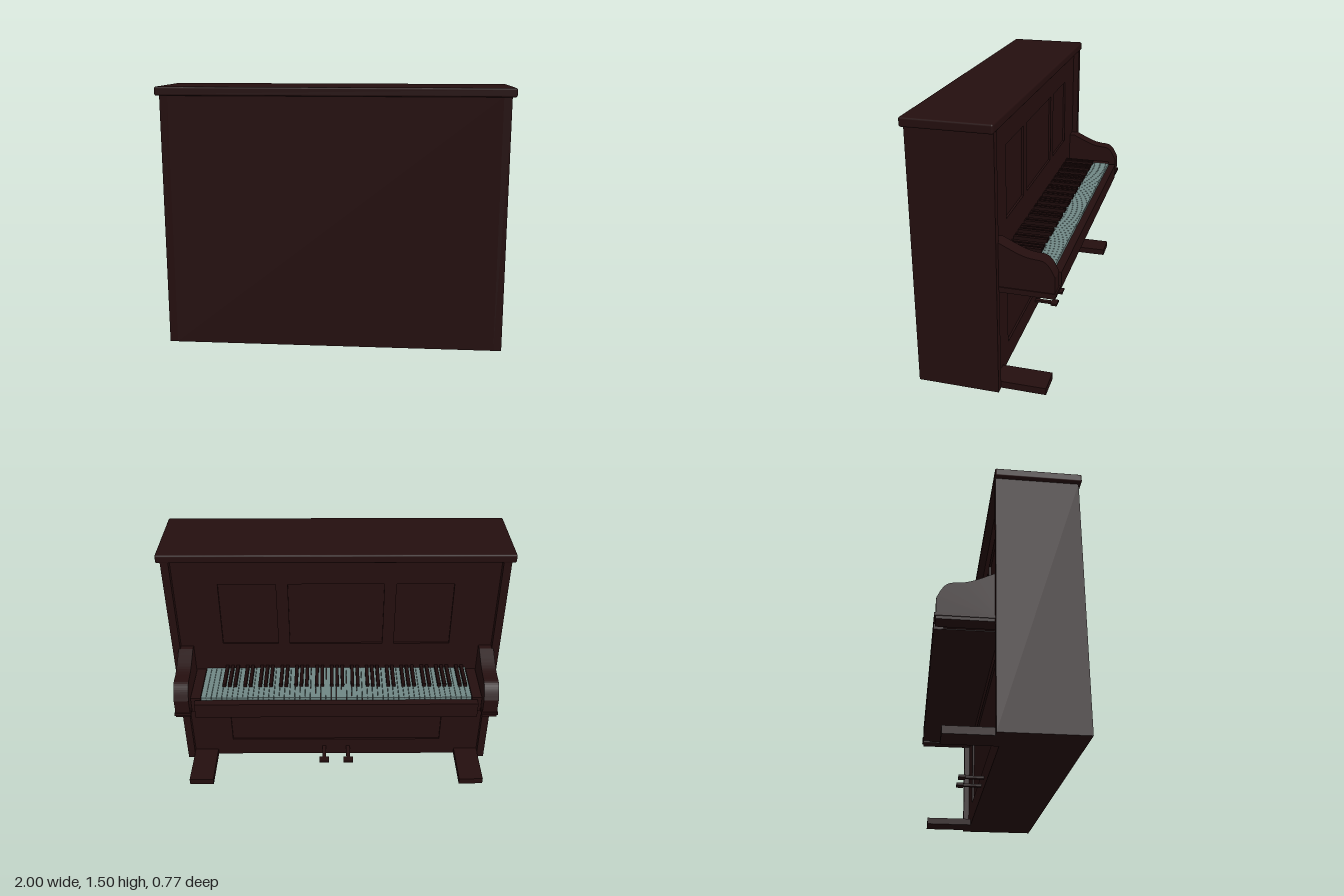
import * as THREE from 'three';
import { RoundedBoxGeometry } from 'three/addons/geometries/RoundedBoxGeometry.js';

export function createModel() {
  const root = new THREE.Group();
  root.name = 'uprightPiano';
  const mat = (name, color) => {
    const m = new THREE.MeshStandardMaterial({ color });
    m.name = name;
    return m;
  };
  const wood = mat('darkMahogany', 0x240e0e);
  const ebony = mat('ebony', 0x1c0a0a);
  const ivory = mat('paleKeys', 0x6f8684);

  const add = (name, geometry, material = wood, parent = root) => {
    const mesh = new THREE.Mesh(geometry, material);
    mesh.name = name;
    parent.add(mesh);
    return mesh;
  };
  // Box given by its limits on each axis
  const box = (name, x0, x1, y0, y1, z0, z1, material = wood, parent = root) => {
    const b = add(name, new THREE.BoxGeometry(x1 - x0, y1 - y0, z1 - z0), material, parent);
    b.position.set((x0 + x1) / 2, (y0 + y1) / 2, (z0 + z1) / 2);
    return b;
  };
  const rectangle = (path, x0, x1, y0, y1) => {
    path.moveTo(x0, y0);
    path.lineTo(x1, y0);
    path.lineTo(x1, y1);
    path.lineTo(x0, y1);
    path.closePath();
    return path;
  };

  // Case and lid
  box('case', -0.93, 0.93, 0, 1.458, -0.038, 0.37);
  const lid = add('lid', new RoundedBoxGeometry(2, 0.05, 0.475, 2, 0.01));
  lid.position.set(0, 1.48, 0.1475);

  // Front frame with recessed panels
  const frame = rectangle(new THREE.Shape(), -0.93, 0.93, 0, 1.458);
  for (const [x0, x1, y0, y1] of [
    [-0.676, -0.345, 0.89, 1.3],
    [-0.276, 0.276, 0.89, 1.3],
    [0.345, 0.676, 0.89, 1.3],
    [-0.676, 0.676, 0.125, 0.54],
  ]) frame.holes.push(rectangle(new THREE.Path(), x0, x1, y0, y1));
  const frontFrame = add('frontFrame', new THREE.ExtrudeGeometry(frame, { depth: 0.012, bevelEnabled: false }));
  frontFrame.position.z = -0.05;

  // Side profile of the key cheeks, drawn as (-z, y)
  const cheekShape = new THREE.Shape();
  cheekShape.moveTo(0.04, 0.595);
  cheekShape.lineTo(0.38, 0.595);
  cheekShape.lineTo(0.38, 0.715);
  cheekShape.bezierCurveTo(0.36, 0.755, 0.345, 0.8, 0.3, 0.805);
  cheekShape.bezierCurveTo(0.22, 0.81, 0.21, 0.815, 0.085, 0.875);
  cheekShape.lineTo(0.04, 0.875);
  cheekShape.closePath();
  const cheekGeometry = new THREE.ExtrudeGeometry(cheekShape, { depth: 0.085, bevelEnabled: false, curveSegments: 10 });
  cheekGeometry.rotateY(Math.PI / 2);
  cheekGeometry.translate(-0.0425, 0, 0);

  // Mirrored parts
  for (const s of [-1, 1]) {
    const side = s > 0 ? 'left' : 'right';
    const pair = (name, xa, xb, ...rest) =>
      box(side + name, Math.min(s * xa, s * xb), Math.max(s * xa, s * xb), ...rest);
    pair('SideWall', 0.93, 0.975, 0, 1.458, -0.085, 0.37);
    add(side + 'Cheek', cheekGeometry).position.x = s * 0.8975;
    pair('CheekMoulding', 0.85, 0.945, 0.612, 0.628, -0.388, -0.05);
    pair('KeyBlock', 0.795, 0.852, 0.6, 0.7, -0.335, -0.05);
    pair('Foot', 0.78, 0.93, 0, 0.04, -0.335, -0.04);

    // Pedals with a wider tip
    const pedal = new THREE.Group();
    pedal.name = side + 'Pedal';
    root.add(pedal);
    const x = s * 0.078;
    box('pedalArm', x - 0.012, x + 0.012, 0.052, 0.066, -0.16, -0.038, wood, pedal);
    box('pedalTip', x - 0.03, x + 0.03, 0.052, 0.066, -0.195, -0.155, wood, pedal);
  }

  // Key bed and front rail
  box('keyBed', -0.83, 0.83, 0.597, 0.675, -0.345, -0.04);
  box('keySlip', -0.825, 0.825, 0.597, 0.692, -0.385, -0.343);

  // Keyboard
  const keyboard = new THREE.Group();
  keyboard.name = 'keyboard';
  root.add(keyboard);
  const count = 52, pitch = 1.58 / count;
  for (let i = 0; i < count; i++) {
    const x = -0.79 + i * pitch;
    box('naturalKey', x + 0.001, x + pitch - 0.001, 0.675, 0.71, -0.343, -0.05, ivory, keyboard);
  }
  for (let octave = 0; octave < 7; octave++) {
    for (const offset of [0, 0.032, 0.091, 0.123, 0.155]) {
      const x = -0.765 + octave * 0.2122 + offset;
      box('sharpKey', x - 0.01, x + 0.01, 0.7, 0.73, -0.24, -0.05, ebony, keyboard);
    }
  }
  return root;
}
